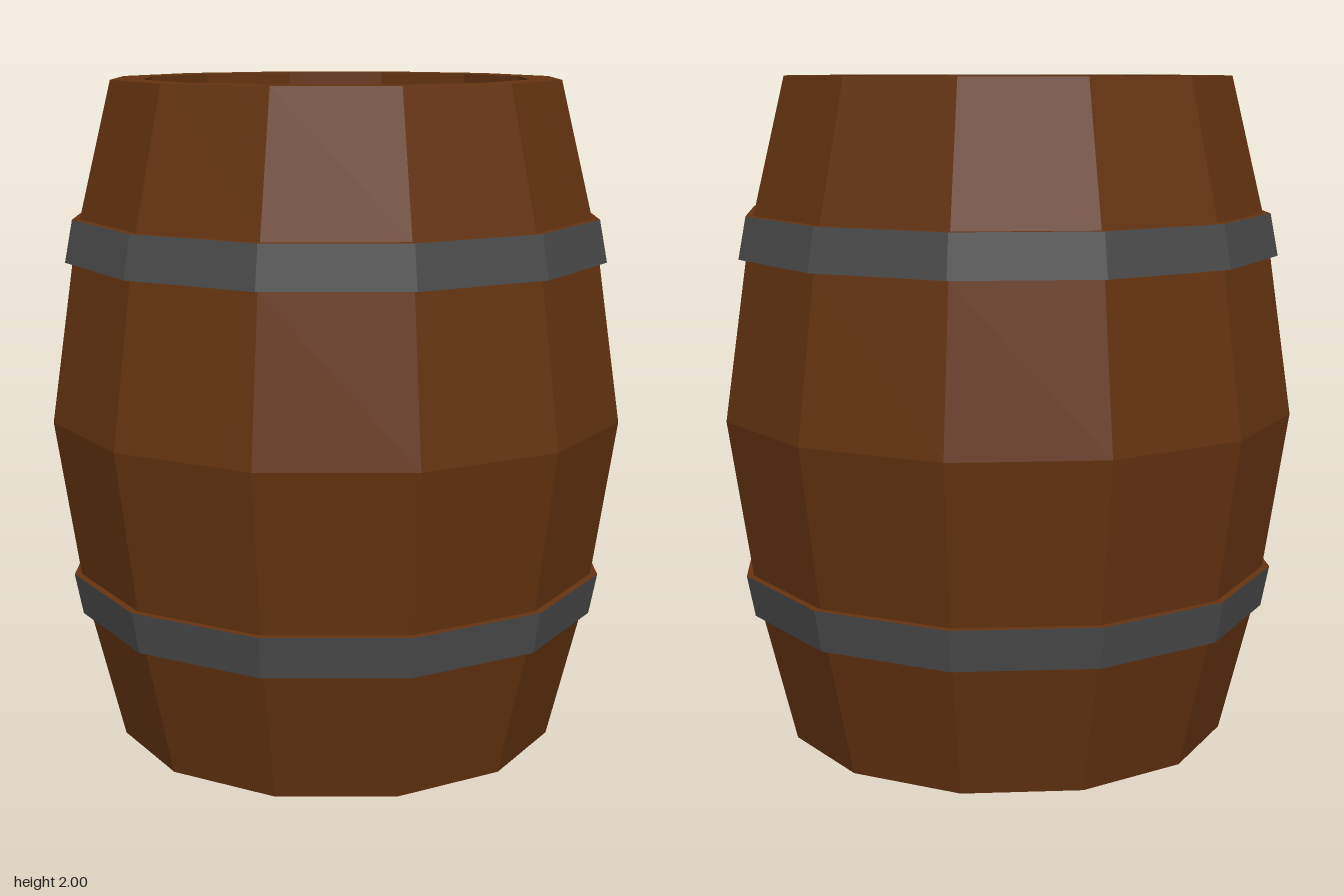
import * as THREE from 'three';

const SIDES = 12;

// Faceted lathe with flat normals; profile is [radius, height] pairs, outside on the right when going up
function facetedLathe(name, profile, material) {
  const points = profile.map(([r, y]) => new THREE.Vector2(r, y));
  const geometry = new THREE.LatheGeometry(points, SIDES).toNonIndexed();
  geometry.computeVertexNormals();
  const mesh = new THREE.Mesh(geometry, material);
  mesh.name = name;
  return mesh;
}

// Mirror a lower-half profile to the upper half, keeping the upward order
const mirrorUp = (profile) => profile.map(([r, y]) => [r, 2 - y]).reverse();

export function createModel() {
  const wood = new THREE.MeshStandardMaterial({ color: 0x643310 });
  wood.name = 'darkWood';
  const iron = new THREE.MeshStandardMaterial({ color: 0x4a4a4a });
  iron.name = 'darkIron';

  const barrel = new THREE.Group();
  barrel.name = 'barrel';

  // Recessed head, rim, end staves and the ledge beneath the hoop
  const end = [[0, 0.12], [0.58, 0.12], [0.58, 0], [0.675, 0], [0.773, 0.4], [0.796, 0.4]];
  // Hoop face
  const hoop = [[0.796, 0.4], [0.82, 0.525]];
  // Ledge above the hoop and the bulging middle staves
  const belly = [[0.82, 0.525], [0.798, 0.525], [0.868, 1]];

  barrel.add(
    facetedLathe('bottomEnd', end, wood),
    facetedLathe('lowerHoop', hoop, iron),
    facetedLathe('belly', [...belly, ...mirrorUp(belly).slice(1)], wood),
    facetedLathe('upperHoop', mirrorUp(hoop), iron),
    facetedLathe('topEnd', mirrorUp(end), wood),
  );

  return barrel;
}
